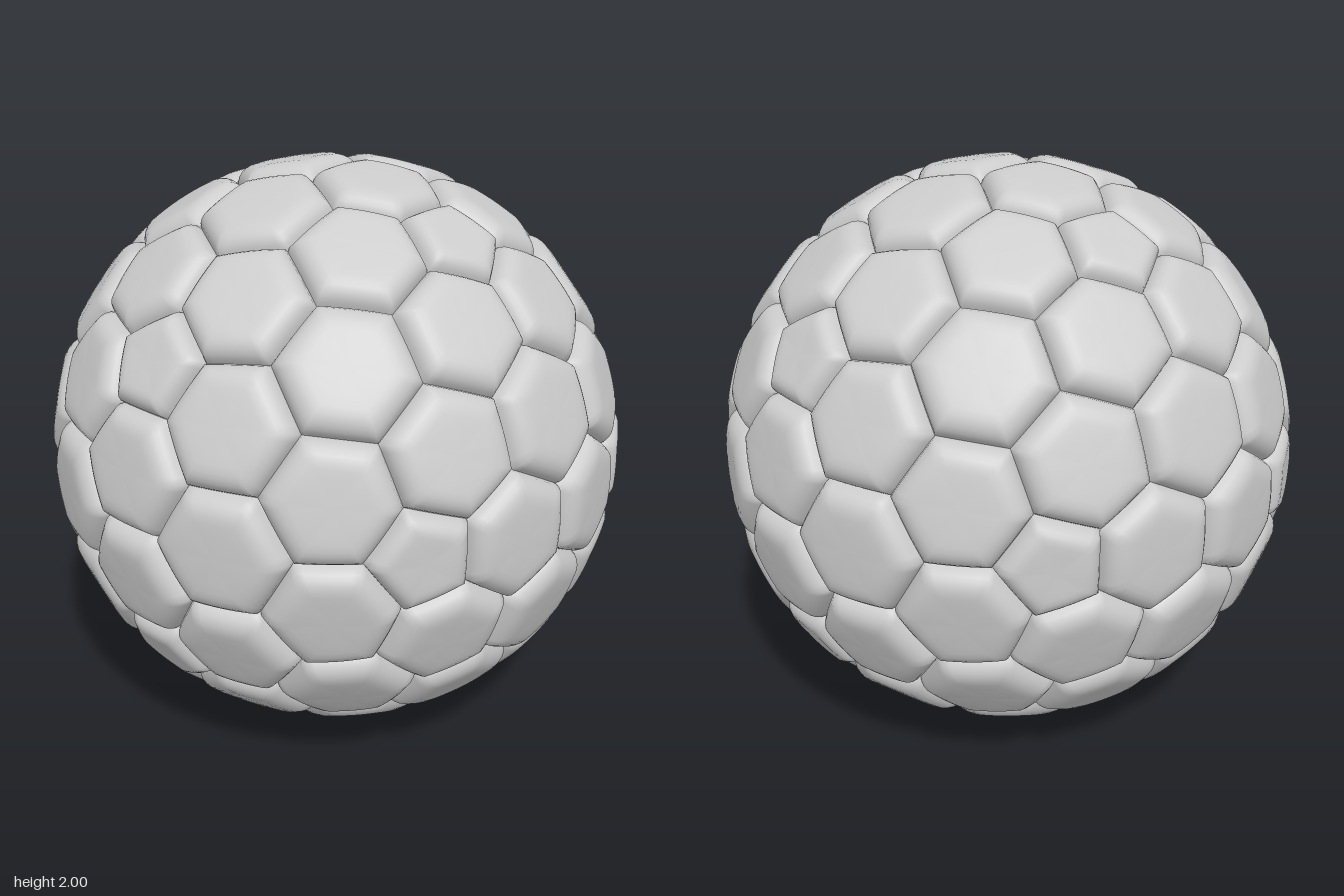
import * as THREE from 'three';

// Pillow profile of a panel: [fraction from centre to border, distance from ball centre]
const PROFILE = [
  [0.2, 0.998], [0.4, 1.0], [0.55, 1.002], [0.66, 1.002], [0.75, 0.998],
  [0.83, 0.991], [0.9, 0.98], [0.96, 0.965], [1, 0.945],
];
const EDGE_STEPS = 8;

// Cells of the ball: every point of a subdivided icosahedron, with the
// centres of the triangles around it as corners (12 pentagons, 80 hexagons)
function findCells() {
  const pos = new THREE.IcosahedronGeometry(1, 2).toNonIndexed().getAttribute('position');
  const cells = new Map();
  for (let i = 0; i < pos.count; i += 3) {
    const tri = [0, 1, 2].map((k) => new THREE.Vector3().fromBufferAttribute(pos, i + k));
    const corner = new THREE.Vector3().add(tri[0]).add(tri[1]).add(tri[2]).normalize();
    for (const p of tri) {
      const key = p.toArray().map((c) => Math.round(c * 100) + 0).join();
      if (!cells.has(key)) cells.set(key, []);
      cells.get(key).push(corner);
    }
  }
  return [...cells.values()];
}

// One domed panel built from rings running from its centre to its border
function panelGeometry(corners) {
  const n = new THREE.Vector3();
  corners.forEach((c) => n.add(c));
  n.normalize();
  const u = corners[0].clone().addScaledVector(n, -corners[0].dot(n)).normalize();
  const v = new THREE.Vector3().crossVectors(n, u);
  const angle = (p) => Math.atan2(p.dot(v), p.dot(u));
  const sorted = [...corners].sort((a, b) => angle(a) - angle(b));

  // border as offsets in the plane touching the ball at the panel centre
  const border = [];
  sorted.forEach((a, i) => {
    const b = sorted[(i + 1) % sorted.length];
    for (let s = 0; s < EDGE_STEPS; s++) {
      const p = a.clone().lerp(b, s / EDGE_STEPS);
      border.push(p.divideScalar(p.dot(n)).sub(n));
    }
  });
  const count = border.length;
  const mean = border.reduce((sum, p) => sum + p.length(), 0) / count;

  const positions = n.clone().multiplyScalar(0.997).toArray();
  const index = [];
  PROFILE.forEach(([t, radius], ring) => {
    border.forEach((p, k) => {
      // inner rings are rounder than the border
      const round = 0.4 * (1 - t);
      const scale = t * (1 - round + round * mean / p.length());
      const q = n.clone().addScaledVector(p, scale).normalize().multiplyScalar(radius);
      positions.push(q.x, q.y, q.z);
      const next = (k + 1) % count;
      const a = 1 + ring * count + k;
      const b = 1 + ring * count + next;
      if (ring === 0) index.push(0, a, b);
      else index.push(a - count, a, b, a - count, b, b - count);
    });
  });
  const geometry = new THREE.BufferGeometry();
  geometry.setAttribute('position', new THREE.Float32BufferAttribute(positions, 3));
  geometry.setIndex(index);
  geometry.computeVertexNormals();
  return geometry;
}

export function createModel() {
  const lightGrey = new THREE.MeshStandardMaterial({ color: 0xcccccc });
  lightGrey.name = 'lightGrey';

  const model = new THREE.Group();
  model.name = 'panelledBall';
  for (const corners of findCells()) {
    const panel = new THREE.Mesh(panelGeometry(corners), lightGrey);
    panel.name = corners.length === 5 ? 'pentagonPanel' : 'hexagonPanel';
    panel.position.y = 1;
    model.add(panel);
  }
  return model;
}
